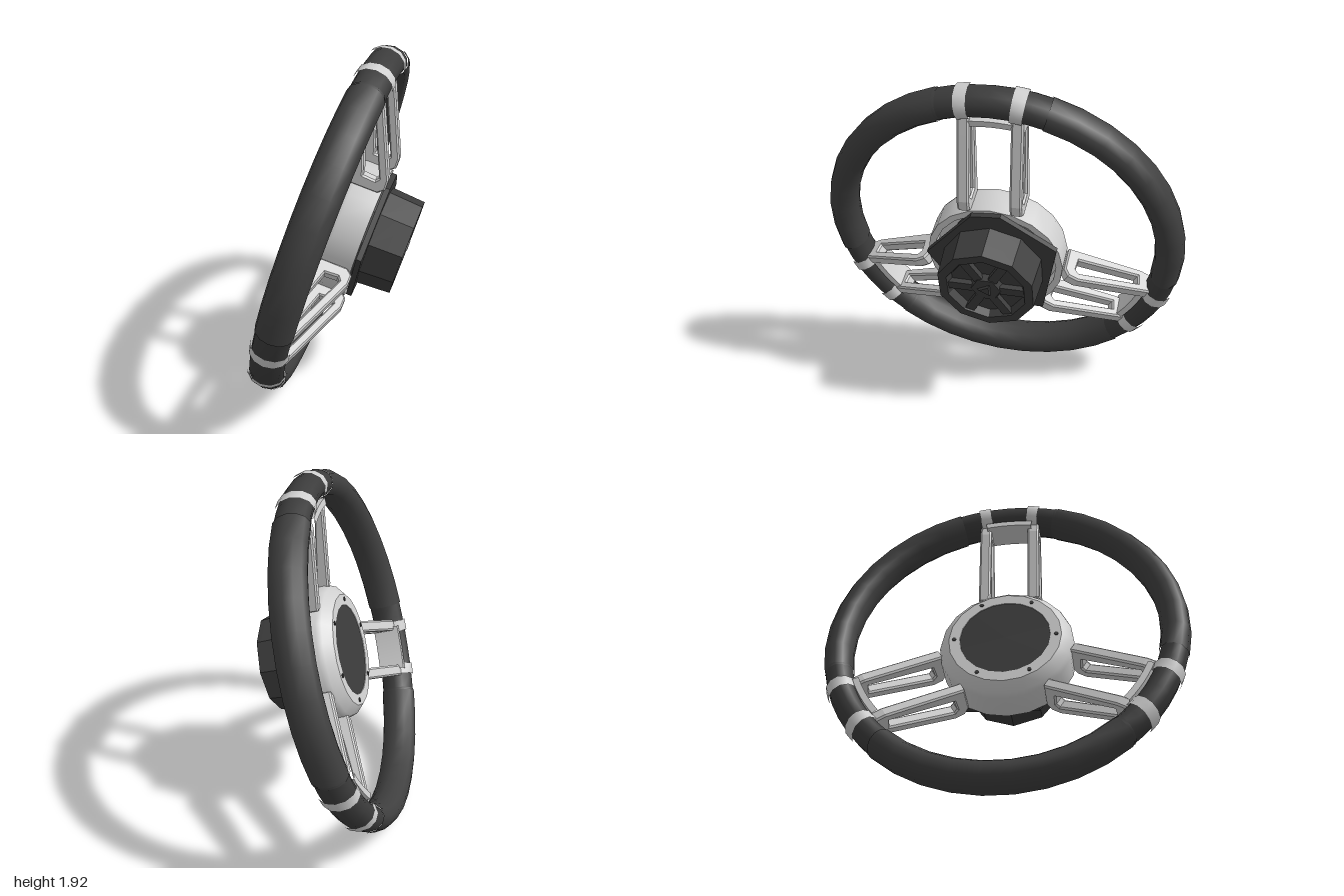
import * as THREE from 'three';
import { toCreasedNormals } from 'three/addons/utils/BufferGeometryUtils.js';

// Steering wheel. Local frame: x runs along the wheel axis, y is up, z sideways.
const TILT = 0.29, RIM_R = 0.92, TOP = Math.PI * 1.5;

export function createModel() {
  const mat = (name, color) => {
    const m = new THREE.MeshStandardMaterial({ color });
    m.name = name;
    return m;
  };
  const leather = mat('rim charcoal', 0x404040);
  const black = mat('boss charcoal', 0x3c3c3c);
  const silver = mat('silver', 0xd0d0d0);

  const wheel = new THREE.Group();
  wheel.name = 'steeringWheel';
  const add = (parent, name, geo, material) => {
    const m = new THREE.Mesh(geo, material);
    m.name = name;
    parent.add(m);
    return m;
  };
  // Lathe about the x axis; points are [radius, axial], angles centred on the top
  const turn = (pts, segs, crease, mid = 0, half = Math.PI) => {
    const g = new THREE.LatheGeometry(pts.map(p => new THREE.Vector2(p[0], p[1])), segs, TOP + mid - half, half * 2);
    g.rotateZ(-Math.PI / 2);
    return toCreasedNormals(g, crease);
  };
  const oval = (radial, axial, n = 12) => Array.from({ length: n + 1 }, (_, i) => {
    const t = i / n * Math.PI * 2;
    return [RIM_R + radial * Math.cos(t), axial * Math.sin(t)];
  });

  // Side profile of one slotted spoke bar
  const spokeShape = new THREE.Shape([
    [0.05, 0.34], [0.2, 0.34], [0.235, 0.37], [0.235, 0.43], [0.105, 0.77], [0.07, 0.86], [-0.05, 0.86], [-0.05, 0.78]
  ].map(p => new THREE.Vector2(...p)));
  spokeShape.holes.push(new THREE.Path([
    [0.1, 0.41], [0.0, 0.77], [0.05, 0.78], [0.185, 0.425], [0.17, 0.405]
  ].map(p => new THREE.Vector2(...p))));
  const spokeGeo = new THREE.ExtrudeGeometry(spokeShape, {
    depth: 0.045, bevelEnabled: true, bevelSize: 0.008, bevelThickness: 0.01, bevelSegments: 1, bevelOffset: -0.008
  });
  spokeGeo.translate(0, 0, -0.0225);

  // Three equal sectors: spoke pair, clamps, padded patch and grip
  for (let k = 0; k < 3; k++) {
    const sector = new THREE.Group();
    sector.name = 'sector' + (k + 1);
    sector.rotation.x = k * Math.PI * 2 / 3;
    wheel.add(sector);
    add(sector, 'rimPatch', turn(oval(0.076, 0.095), 6, 0.8, 0, 0.33), black);
    add(sector, 'rimGrip', turn(oval(0.081, 0.101), 9, 0.8, Math.PI / 3, Math.PI / 3 - 0.31), leather);
    add(sector, 'rimGripEdge', turn(oval(0.078, 0.098), 1, 0.8, 0.305, 0.012), leather);
    add(sector, 'innerPlate', turn(
      [[0.815, -0.075], [0.85, -0.075], [0.85, 0.075], [0.815, 0.075], [0.815, -0.075]], 6, 0.6, 0, 0.16), silver);
    for (const s of [-1, 1]) {
      add(sector, 'spokeBar', spokeGeo, silver).position.z = s * 0.14;
      add(sector, 'clampBand', turn(oval(0.086, 0.105), 2, 0.8, s * 0.153, 0.037), silver);
    }
  }

  // Hub cup with an open back
  add(wheel, 'hubCup', turn([
    [0.24, 0.02], [0.25, -0.005], [0.31, -0.005], [0.36, 0.04], [0.372, 0.07],
    [0.372, 0.22], [0.335, 0.22], [0.335, 0.14], [0, 0.14]
  ], 20, 0.6), silver);
  const disc = new THREE.CylinderGeometry(0.25, 0.25, 0.02, 24).rotateZ(Math.PI / 2);
  add(wheel, 'centreDisc', disc, black).position.x = 0.008;
  for (let i = 0; i < 6; i++) {
    const t = (i + 0.5) * Math.PI / 3;
    const bolt = new THREE.CylinderGeometry(0.012, 0.012, 0.008, 6).rotateZ(Math.PI / 2);
    add(wheel, 'faceBolt', bolt, black).position.set(-0.006, 0.28 * Math.cos(t), 0.28 * Math.sin(t));
  }

  // Angular mounting plate behind the hub
  const plate = new THREE.Shape([
    [-0.1, 0.35], [0.06, 0.365], [0.35, 0.157], [0.26, -0.3], [-0.17, -0.32], [-0.37, 0.04]
  ].map(p => new THREE.Vector2(...p)));
  const plateGeo = new THREE.ExtrudeGeometry(plate, { depth: 0.03, bevelEnabled: false }).rotateY(Math.PI / 2);
  add(wheel, 'mountingPlate', plateGeo, black).position.x = 0.225;

  // Ten-sided boss with a recessed, ribbed end
  add(wheel, 'boss', turn([
    [0.285, 0.14], [0.28, 0.25], [0.268, 0.445], [0.22, 0.445], [0.2, 0.405], [0, 0.405]
  ], 10, 0.3), black);
  for (let i = 0; i < 6; i++) {
    const rib = new THREE.BoxGeometry(0.032, 0.14, 0.05).translate(0.42, 0.145, 0);
    add(wheel, 'bossRib', rib, black).rotation.x = (i + 0.5) * Math.PI / 3;
  }
  const core = new THREE.CylinderGeometry(0.08, 0.1, 0.035, 6).rotateZ(-Math.PI / 2);
  add(wheel, 'bossCore', toCreasedNormals(core, 0.3), black).position.x = 0.422;
  const tip = new THREE.CylinderGeometry(0.035, 0.05, 0.012, 3).rotateZ(-Math.PI / 2);
  add(wheel, 'bossTip', toCreasedNormals(tip, 0.3), black).position.x = 0.444;

  wheel.rotation.z = -TILT;
  wheel.position.set(-0.07, 0.964, 0);
  const model = new THREE.Group();
  model.name = 'steeringWheelModel';
  model.add(wheel);
  return model;
}
